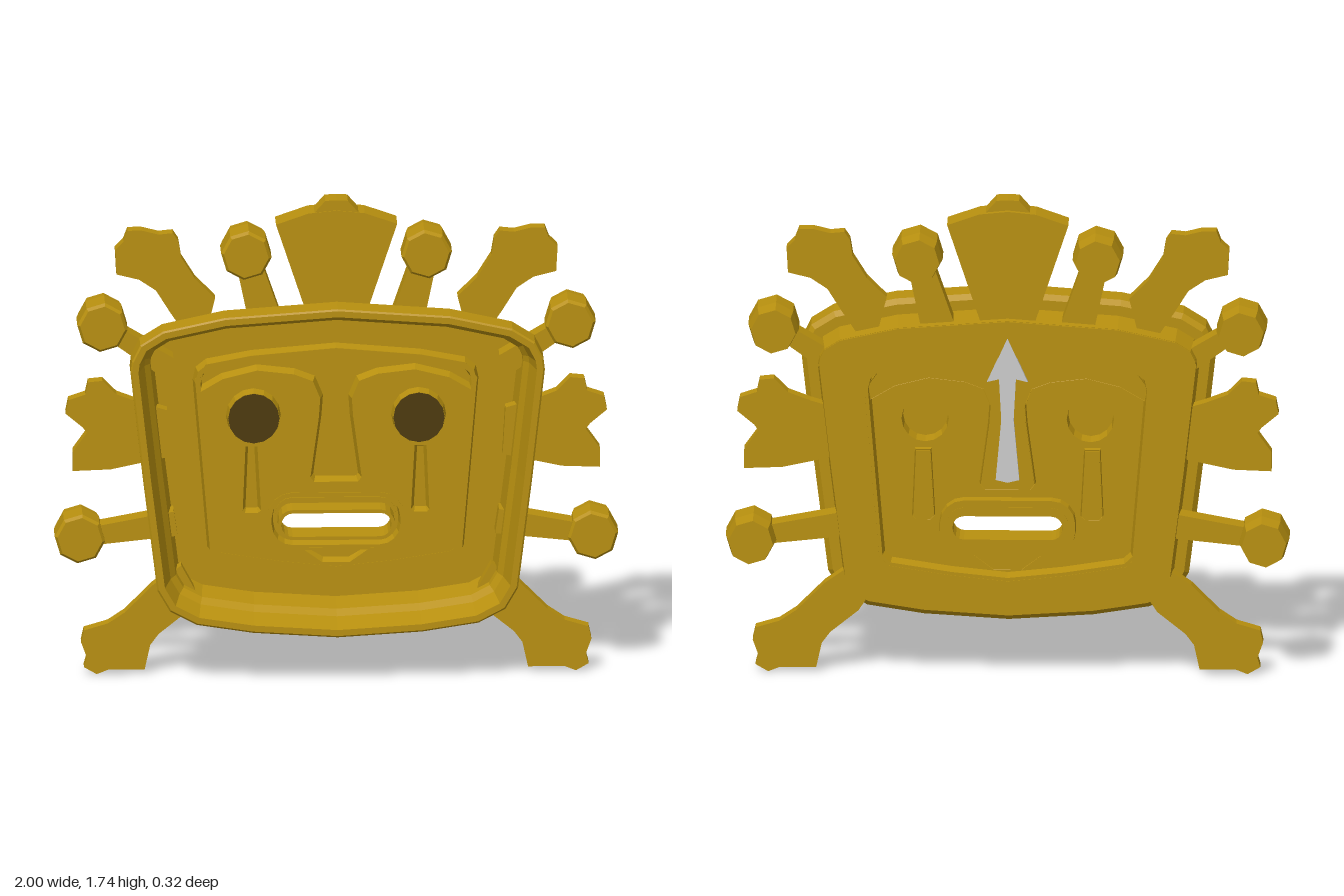
import * as THREE from 'three';

const gold = new THREE.MeshStandardMaterial({ color: 0xb8900f, flatShading: true, side: THREE.DoubleSide });
const dark = new THREE.MeshStandardMaterial({ color: 0x4d3a0c, flatShading: true });
const grey = new THREE.MeshStandardMaterial({ color: 0xcccccc, flatShading: true });

const vec = (pts) => pts.map(([x, y]) => new THREE.Vector2(x, y));
// right half, bottom to top, closed by its mirror image
const symmetric = (half) => vec([
  ...half,
  ...half.filter(([x]) => x > 0).reverse().map(([x, y]) => [-x, y]),
]);
// mirrored outlines are reversed to stay counter-clockwise
const flip = (pts, s) => vec(s > 0 ? pts : pts.map(([x, y]) => [-x, y]).reverse());

// move a counter-clockwise outline inwards by d
function inset(pts, d) {
  const n = pts.length;
  return pts.map((p, i) => {
    const a = p.clone().sub(pts[(i + n - 1) % n]).normalize();
    const b = pts[(i + 1) % n].clone().sub(p).normalize();
    const m = new THREE.Vector2(-a.y - b.y, a.x + b.x).normalize();
    const k = d / Math.max(0.5, -m.x * a.y + m.y * a.x);
    return p.clone().addScaledVector(m, k);
  });
}

// sweep a closed profile of [inset, z] around an outline
function sweep(outline, profile) {
  const n = outline.length, pos = [], idx = [];
  profile.forEach(([d, z]) => inset(outline, d).forEach((p) => pos.push(p.x, p.y, z)));
  for (let k = 0; k < profile.length; k++) {
    const k2 = (k + 1) % profile.length;
    for (let i = 0; i < n; i++) {
      const j = (i + 1) % n;
      const a = k * n + i, b = k * n + j, c = k2 * n + j, e = k2 * n + i;
      idx.push(a, b, c, a, c, e);
    }
  }
  const g = new THREE.BufferGeometry();
  g.setAttribute('position', new THREE.Float32BufferAttribute(pos, 3));
  g.setIndex(idx);
  g.computeVertexNormals();
  return g;
}

// flat plate between two z levels, with holes
function plate(outline, z0, z1, holes = []) {
  const s = new THREE.Shape(outline);
  holes.forEach((h) => s.holes.push(new THREE.Path(h)));
  const g = new THREE.ExtrudeGeometry(s, { depth: z1 - z0, bevelEnabled: false });
  return g.translate(0, 0, z0);
}

const circle = (x, y, r, n) => Array.from({ length: n }, (_, i) => {
  const t = (i / n) * Math.PI * 2;
  return new THREE.Vector2(x + r * Math.cos(t), y + r * Math.sin(t));
});

// rounded slot, w and h being half sizes
function slot(y, w, h, r) {
  const pts = [];
  [[1, 1], [-1, 1], [-1, -1], [1, -1]].forEach(([sx, sy], q) => {
    for (let i = 0; i <= 4; i++) {
      const t = (q + i / 4) * Math.PI / 2;
      pts.push(new THREE.Vector2(sx * (w - r) + r * Math.cos(t), y + sy * (h - r) + r * Math.sin(t)));
    }
  });
  return pts;
}

export function createModel() {
  const group = new THREE.Group();
  const add = (name, geometry, material = gold) => {
    const m = new THREE.Mesh(geometry, material);
    m.name = name;
    group.add(m);
    return m;
  };
  // feature raised to the back and hollow at the front, with sloping walls
  const addRaised = (name, outline, z) => {
    add(name, plate(outline, z, z + 0.025));
    add(name + 'Wall', sweep(outline, [[-0.002, z + 0.003], [-0.008, -0.034], [0.004, -0.034], [0.016, z + 0.02]]));
  };

  const outline = symmetric([
    [0, 0.173], [0.3, 0.192], [0.5, 0.223], [0.595, 0.273], [0.64, 0.35], [0.69, 0.75],
    [0.735, 1.15], [0.73, 1.19], [0.7, 1.25], [0.62, 1.3], [0.4, 1.348], [0, 1.377],
  ]);
  const face = symmetric([
    [0, 0.357], [0.2, 0.378], [0.42, 0.412], [0.455, 0.445], [0.485, 0.8],
    [0.507, 1.06], [0.497, 1.105], [0.46, 1.135], [0.3, 1.165], [0, 1.19],
  ]);

  // rim and side wall in one closed section
  add('rimAndWall', sweep(outline, [
    [0.018, 0.03], [0, 0.05], [0, 0.154], [0.006, 0.16], [0.028, 0.16], [0.052, 0.06], [0.072, 0.03],
    [0.088, -0.105], [0.066, -0.11], [0.054, 0.03],
  ]));
  add('framePlate', plate(inset(outline, 0.067), -0.12, -0.09, [face]));
  add('faceBorder', sweep(face, [[-0.004, -0.118], [0.008, -0.035], [0.026, -0.035], [0.012, -0.118]]));

  // face panel, cut out below brows and nose
  const brow = [
    [0.485, 1.02], [0.4, 1.07], [0.28, 1.1], [0.15, 1.085], [0.085, 1.06],
    [0.06, 1.0], [0.065, 0.93], [0.095, 0.71], [0.08, 0.69], [0, 0.69],
  ];
  const tear = [[0.335, 0.59], [0.325, 0.83], [0.275, 0.83], [0.262, 0.59], [0.275, 0.578], [0.325, 0.578]];
  const lips = slot(0.55, 0.24, 0.1, 0.085);
  const mouth = slot(0.55, 0.195, 0.043, 0.04);
  const chin = vec([[-0.12, 0.447], [-0.05, 0.395], [0.05, 0.395], [0.12, 0.447]]);
  const sides = [1, -1];
  const panel = symmetric([[0, 0.366], [0.2, 0.386], [0.415, 0.42], [0.447, 0.45], [0.477, 0.8], ...brow]);
  add('facePanel', plate(panel, -0.068, -0.042, [
    lips, chin,
    ...sides.map((s) => circle(s * 0.293, 0.94, 0.094, 16)),
    ...sides.map((s) => flip(tear, s)),
  ]));
  addRaised('browAndNose', symmetric([
    ...brow.slice().reverse(), [0.493, 1.07], [0.457, 1.12], [0.3, 1.15], [0, 1.176],
  ]), -0.105);
  addRaised('chin', chin, -0.095);

  // lips with a deep open mouth
  add('lips', sweep(lips, [[0, -0.108], [-0.004, -0.036], [0.012, -0.036], [0.018, -0.085], [0.03, -0.085], [0.03, -0.108]]));
  add('lipPlate', plate(inset(lips, 0.025), -0.11, -0.08, [mouth]));
  add('mouthTube', sweep(mouth, [[-0.012, -0.1], [-0.012, 0.02], [0, 0.02], [0, -0.1]]));

  // eye cups, open to the back
  const eyeProfile = vec([[0.084, -0.068], [0.1, -0.068], [0.092, 0.01], [0, 0.01], [0, 0.002], [0.08, 0.002], [0.084, -0.068]]);

  // knobs on tapered spokes
  const knobProfile = vec([[0, -0.162], [0.08, -0.162], [0.09, -0.09], [0.09, 0.015], [0.08, 0.028], [0, 0.028]]);
  const knobs = [
    { from: [0.245, 1.27], to: [0.32, 1.54], w: 0.06 },
    { from: [0.6, 1.13], to: [0.83, 1.28], w: 0.04 },
    { from: [0.57, 0.555], to: [0.91, 0.505], w: 0.045 },
  ];
  const lobes = {
    upperLobe: [[0.46, 1.26], [0.43, 1.38], [0.5, 1.45], [0.55, 1.53], [0.56, 1.59], [0.58, 1.62],
      [0.63, 1.615], [0.69, 1.63], [0.74, 1.63], [0.755, 1.59], [0.785, 1.56], [0.78, 1.47], [0.7, 1.45], [0.64, 1.41], [0.59, 1.33], [0.53, 1.24]],
    sideLobe: [[0.6, 0.97], [0.7, 1.0], [0.78, 1.03], [0.83, 1.08], [0.88, 1.075], [0.89, 1.03], [0.95, 1.01],
      [0.96, 0.96], [0.9, 0.91], [0.885, 0.89], [0.935, 0.82], [0.935, 0.75], [0.8, 0.755], [0.59, 0.8]],
    lowerLobe: [[0.55, 0.4], [0.65, 0.33], [0.75, 0.23], [0.81, 0.19], [0.895, 0.165], [0.905, 0.12], [0.885, 0.065],
      [0.895, 0.03], [0.85, 0.004], [0.81, 0.02], [0.68, 0.02], [0.66, 0.11], [0.63, 0.15], [0.53, 0.23], [0.49, 0.29]],
  };

  sides.forEach((s) => {
    const side = s > 0 ? 'left' : 'right';
    add(side + 'Eye', new THREE.LatheGeometry(eyeProfile, 16).rotateX(Math.PI / 2)).position.set(s * 0.293, 0.94, 0);
    add(side + 'EyeCap', new THREE.CircleGeometry(0.091, 16), dark).position.set(s * 0.293, 0.94, 0.012);
    addRaised(side + 'Tear', flip(tear, s), -0.095);
    knobs.forEach(({ from, to, w }, i) => {
      const dx = to[0] - from[0], dy = to[1] - from[1], l = Math.hypot(dx, dy);
      const nx = -dy / l, ny = dx / l, e = w * 0.7;
      const bar = [
        [from[0] + nx * w, from[1] + ny * w], [from[0] - nx * w, from[1] - ny * w],
        [to[0] - nx * e, to[1] - ny * e], [to[0] + nx * e, to[1] + ny * e],
      ];
      add(`${side}Spoke${i + 1}`, plate(flip(bar, s), -0.08, 0.005));
      const knob = new THREE.LatheGeometry(knobProfile, 8).rotateX(Math.PI / 2).rotateZ(0.1 * s);
      add(`${side}Knob${i + 1}`, knob).position.set(s * to[0], to[1], 0);
    });
    for (const [name, pts] of Object.entries(lobes)) {
      add(side + name[0].toUpperCase() + name.slice(1), plate(flip(pts, s), -0.055, 0));
    }
  });

  // crest fan with its small peak
  add('crestFan', plate(symmetric([[0, 1.265], [0.085, 1.265], [0.215, 1.655], [0.1, 1.695], [0, 1.705]]), -0.085, 0.028));
  add('crestPeak', plate(symmetric([[0, 1.66], [0.08, 1.695], [0.04, 1.74], [0, 1.742]]), -0.065, 0.024));

  // arrow on the back, along the nose
  add('arrow', plate(symmetric([
    [0, 0.72], [0.042, 0.73], [0.022, 0.95], [0.03, 1.1], [0.072, 1.09], [0, 1.25],
  ]), -0.1225, -0.1), grey);

  return group;
}
